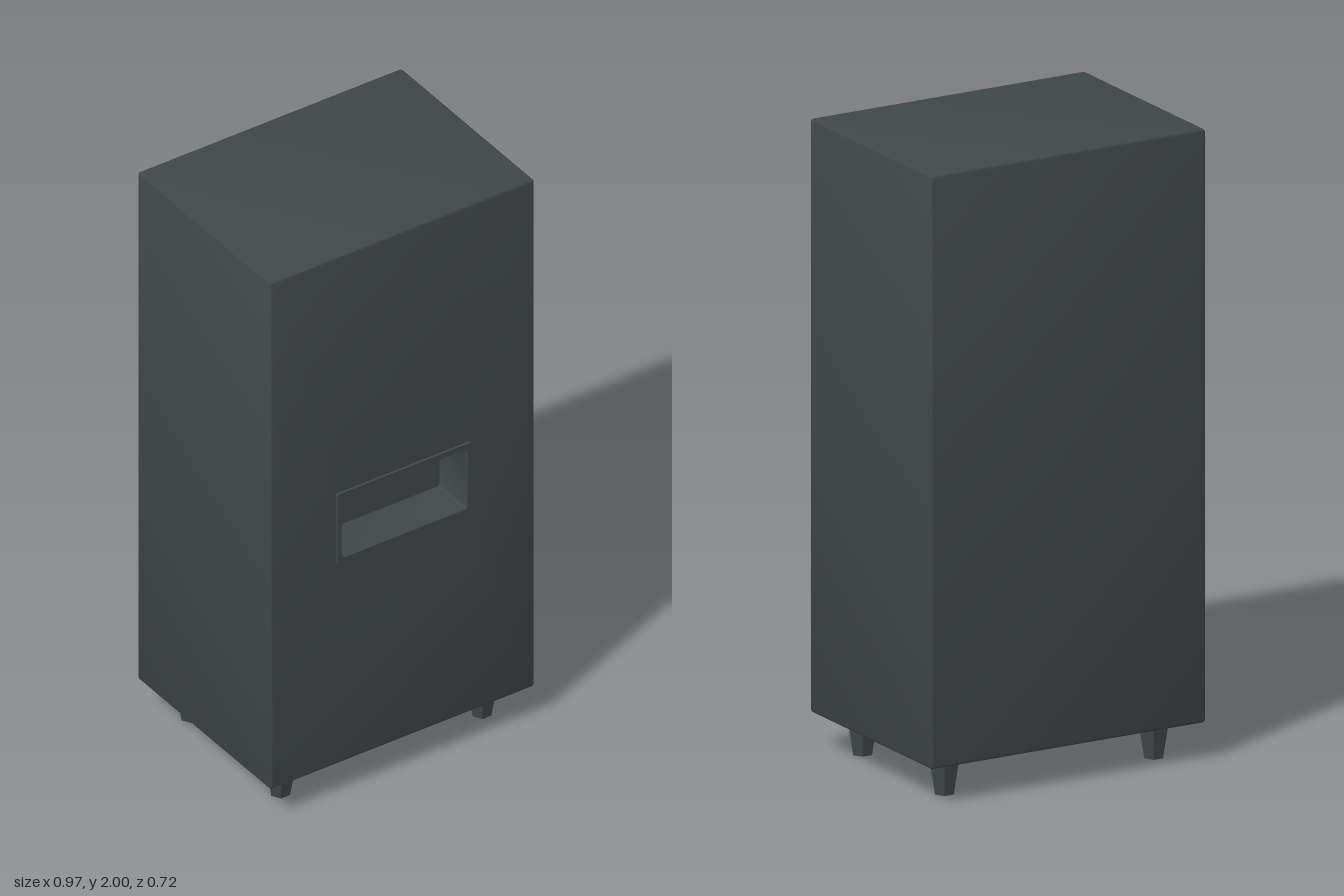
import * as THREE from 'three';
import { toCreasedNormals } from 'three/addons/utils/BufferGeometryUtils.js';

const charcoal = new THREE.MeshStandardMaterial({ color: 0x414747 });
charcoal.name = 'charcoal';

// Counter-clockwise rounded rectangle centred on (cx, cy)
function roundedLoop(cx, cy, w, h, r, seg = 4) {
  const points = [];
  const corners = [[1, 1], [-1, 1], [-1, -1], [1, -1]];
  corners.forEach(([sx, sy], i) => {
    for (let k = 0; k <= seg; k++) {
      const a = (i + k / seg) * Math.PI / 2;
      points.push(new THREE.Vector2(
        cx + sx * (w / 2 - r) + r * Math.cos(a),
        cy + sy * (h / 2 - r) + r * Math.sin(a)));
    }
  });
  return points;
}

// Skin over successive loops; loops shrunk to a point close the ends
function loft(loops) {
  const pos = [];
  const push = (...ps) => ps.forEach(p => pos.push(p.x, p.y, p.z));
  for (let i = 0; i < loops.length - 1; i++) {
    const a = loops[i], b = loops[i + 1], n = a.length;
    for (let j = 0; j < n; j++) {
      const k = (j + 1) % n;
      if (i > 0) push(a[j], a[k], b[k]);
      if (i < loops.length - 2) push(a[j], b[k], b[j]);
      if (i === 0 && loops.length === 2) push(a[j], a[k], b[k]);
    }
  }
  const g = new THREE.BufferGeometry();
  g.setAttribute('position', new THREE.Float32BufferAttribute(pos, 3));
  g.computeVertexNormals();
  return toCreasedNormals(g, 0.6);
}

export function createModel() {
  const model = new THREE.Group();
  model.name = 'cabinet';
  const add = (name, geometry) => {
    const mesh = new THREE.Mesh(geometry, charcoal);
    mesh.name = name;
    model.add(mesh);
    return mesh;
  };

  // Cabinet with softened edges and a recess sunk into its front
  const W = 0.972, bottom = 0.12, top = 2, back = -0.362, front = 0.354, e = 0.01;
  const cy = (bottom + top) / 2, H = top - bottom;
  const hole = { x: 0.002, y: 0.996, w: 0.46, h: 0.222, r: 0.012 };
  const at = (points, z) => points.map(p => new THREE.Vector3(p.x, p.y, z));
  const outer = (inset, z) =>
    at(roundedLoop(0, cy, W - 2 * inset, H - 2 * inset, Math.max(e - inset, 0.0005)), z);
  const inner = (s, z) =>
    at(roundedLoop(hole.x, hole.y, hole.w * s, hole.h * s, hole.r * s), z);

  const loops = [at(roundedLoop(0, cy, 0, 0, 0), back)];
  const arc = [0, 1, 2, 3].map(k => k * Math.PI / 6);
  for (const t of arc) loops.push(outer(0.95 * e * (1 - Math.sin(t)), back + e * (1 - Math.cos(t))));
  for (const t of arc) loops.push(outer(0.95 * e * (1 - Math.cos(t)), front - e * (1 - Math.sin(t))));
  loops.push(inner(1, front), inner(1, front - 0.14), inner(0, front - 0.14));
  add('cabinetBody', loft(loops));

  // Thin raised frame around the recess
  const frame = new THREE.Shape(roundedLoop(hole.x, hole.y, 0.496, 0.26, 0.008));
  frame.holes.push(new THREE.Path(roundedLoop(hole.x, hole.y, hole.w, hole.h, hole.r)));
  const frameGeometry = new THREE.ExtrudeGeometry(frame, { depth: 0.008, bevelEnabled: false });
  add('recessFrame', frameGeometry).position.z = front;

  // Four tapered six-sided feet
  const footGeometry = toCreasedNormals(
    new THREE.CylinderGeometry(0.053, 0.033, bottom, 6, 1, false, Math.PI / 6), 0.4);
  for (const x of [-0.37, 0.37]) {
    for (const z of [-0.245, 0.237]) {
      add('foot', footGeometry).position.set(x, bottom / 2, z);
    }
  }
  return model;
}
